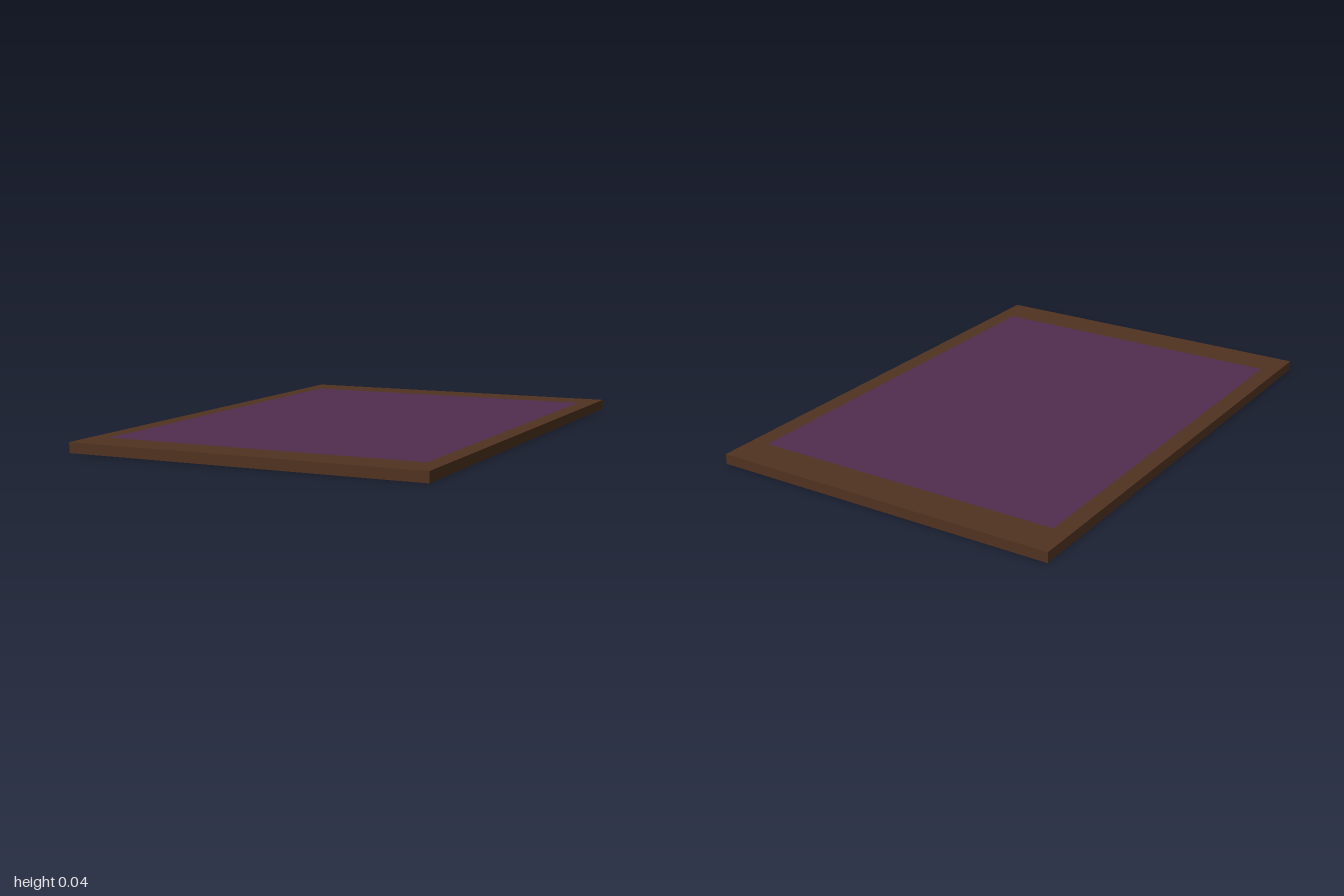
import * as THREE from 'three';

const WIDTH = 1.4, DEPTH = 2, HEIGHT = 0.04;
const PANEL_W = 1.26, PANEL_D = 1.7;

export function createModel() {
  const wood = new THREE.MeshStandardMaterial({ color: 0x503220, side: THREE.DoubleSide });
  wood.name = 'dark wood';
  const cloth = new THREE.MeshStandardMaterial({ color: 0x502d4e, side: THREE.DoubleSide });
  cloth.name = 'purple cloth';

  const group = new THREE.Group();
  group.name = 'framedPanel';
  const add = (name, geometry, material) => {
    const mesh = new THREE.Mesh(geometry, material);
    mesh.name = name;
    group.add(mesh);
    return mesh;
  };

  const corners = (w, d) => [[-w, -d], [w, -d], [w, d], [-w, d]]
    .map(([x, y]) => new THREE.Vector2(x / 2, y / 2));

  // Flat frame top with a rectangular opening
  const border = new THREE.Shape(corners(WIDTH, DEPTH));
  border.holes.push(new THREE.Path(corners(PANEL_W, PANEL_D).reverse()));
  add('frameTop', new THREE.ShapeGeometry(border).rotateX(-Math.PI / 2), wood).position.y = HEIGHT;

  // Panel set flush in the opening
  add('panel', new THREE.PlaneGeometry(PANEL_W, PANEL_D).rotateX(-Math.PI / 2), cloth).position.y = HEIGHT;

  // Thin walls under the top: the underside is open
  for (const s of [1, -1]) {
    const turn = s > 0 ? 0 : Math.PI;
    const side = add(s > 0 ? 'leftWall' : 'rightWall',
      new THREE.PlaneGeometry(DEPTH, HEIGHT).rotateY(s * Math.PI / 2), wood);
    side.position.set(s * WIDTH / 2, HEIGHT / 2, 0);

    const end = add(s > 0 ? 'frontWall' : 'backWall',
      new THREE.PlaneGeometry(WIDTH, HEIGHT).rotateY(turn), wood);
    end.position.set(0, HEIGHT / 2, s * DEPTH / 2);

    // Cross rib beneath each end of the panel
    const rib = add(s > 0 ? 'frontRib' : 'backRib',
      new THREE.PlaneGeometry(WIDTH, HEIGHT).rotateY(turn), wood);
    rib.position.set(0, HEIGHT / 2, s * PANEL_D / 2);
  }

  return group;
}
